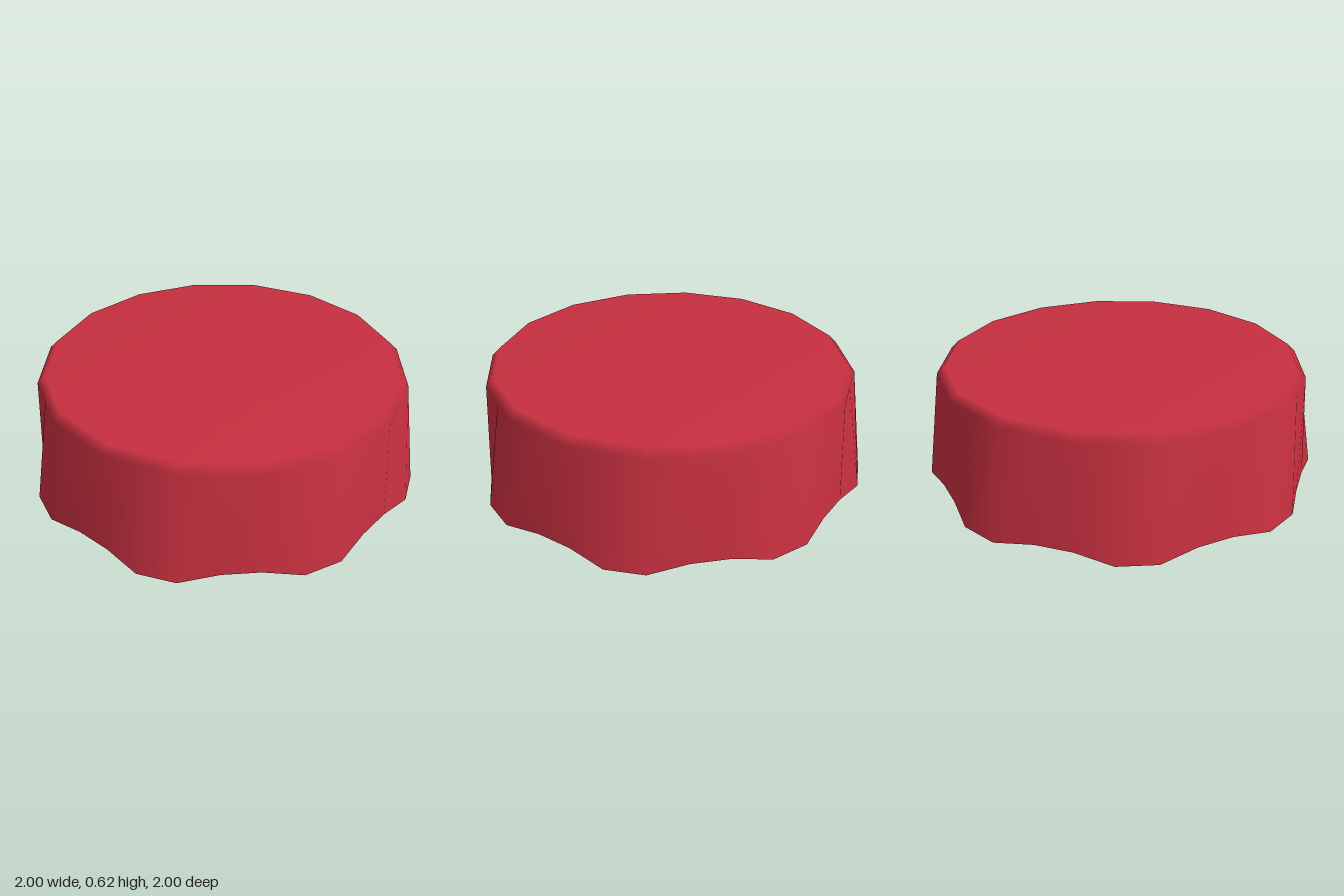
import * as THREE from 'three';

const SEGMENTS = 32;
const STEP = (Math.PI * 2) / SEGMENTS;

// Sixteen-sided ring: every second point lies on the chord between its neighbours
const facetedRing = (radius, y) => (i) => [i % 2 ? radius * Math.cos(STEP) : radius, y];

// Scalloped hem: pairs of points alternate between low outer lobes and raised inner folds
const hem = (i) => (Math.floor(((i + 1) % SEGMENTS) / 2) % 2 ? [1.046, 0] : [0.995, 0.025]);

function drapedCover() {
  const rings = [hem, facetedRing(0.967, 0.575), facetedRing(0.928, 0.615)];
  const positions = [];
  const index = [];

  for (const ring of rings) {
    for (let i = 0; i < SEGMENTS; i++) {
      const [radius, y] = ring(i);
      const angle = (i + 0.5) * STEP;
      positions.push(radius * Math.cos(angle), y, -radius * Math.sin(angle));
    }
  }
  const centre = positions.length / 3;
  positions.push(0, 0.615, 0);

  for (let i = 0; i < SEGMENTS; i++) {
    const next = (i + 1) % SEGMENTS;
    // Flared wall and bevelled rim
    for (let r = 0; r < rings.length - 1; r++) {
      const a = r * SEGMENTS + i;
      const b = r * SEGMENTS + next;
      index.push(a, b, b + SEGMENTS, a, b + SEGMENTS, a + SEGMENTS);
    }
    // Flat top
    const top = (rings.length - 1) * SEGMENTS;
    index.push(top + i, top + next, centre);
  }

  const geometry = new THREE.BufferGeometry();
  geometry.setAttribute('position', new THREE.Float32BufferAttribute(positions, 3));
  geometry.setIndex(index);
  geometry.computeVertexNormals();
  return geometry;
}

export function createModel() {
  const group = new THREE.Group();
  group.name = 'drapedCover';

  const red = new THREE.MeshStandardMaterial({ color: 0xc62f3f, side: THREE.DoubleSide });
  red.name = 'red cloth';

  // Open-bottomed cloth cover
  const cover = new THREE.Mesh(drapedCover(), red);
  cover.name = 'clothCover';
  group.add(cover);
  return group;
}
